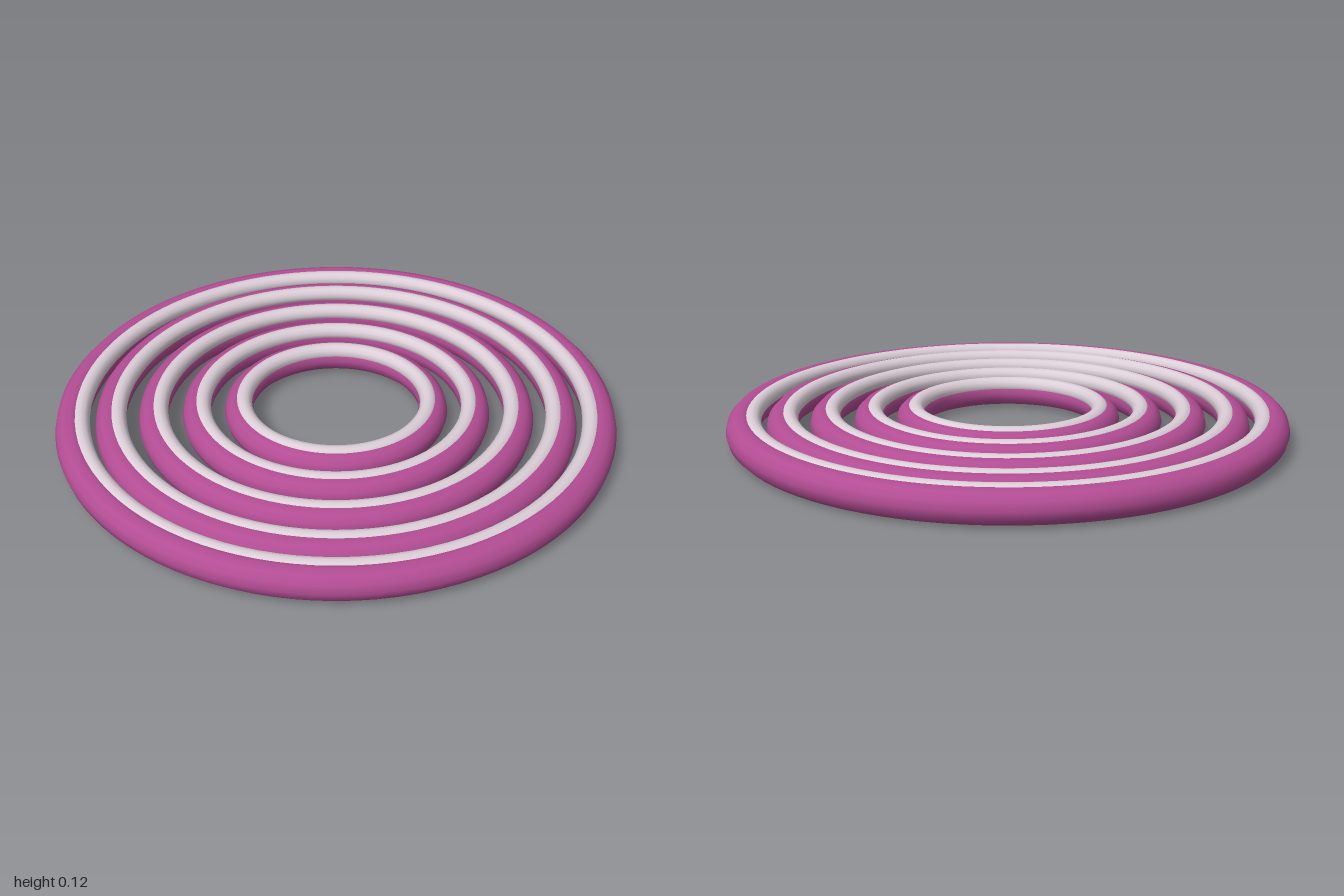
import * as THREE from 'three';

export function createModel() {
  const model = new THREE.Group();
  model.name = 'concentricRings';
  const magenta = new THREE.MeshStandardMaterial({ color: 0xb34d94 });
  magenta.name = 'magenta';
  const pale = new THREE.MeshStandardMaterial({ color: 0xdccfd8 });
  pale.name = 'palePink';

  // A horizontal ring with a round section
  function ring(name, radius, tube, y, material) {
    const geometry = new THREE.TorusGeometry(radius, tube, 12, 96);
    geometry.rotateX(-Math.PI / 2);
    const mesh = new THREE.Mesh(geometry, material);
    mesh.name = name;
    mesh.position.y = y;
    return mesh;
  }

  // Per ring: base radius, base thickness, trim radius
  const rings = [
    [0.943, 0.057, 0.908],
    [0.807, 0.054, 0.78],
    [0.655, 0.053, 0.632],
    [0.5, 0.052, 0.48],
    [0.35, 0.051, 0.333],
  ];
  rings.forEach(([radius, tube, trimRadius], i) => {
    const group = new THREE.Group();
    group.name = `ring${i + 1}`;
    // Thick lower ring, with a slim pale ring set into its upper inner side
    group.add(ring('baseRing', radius, tube, 0.057, magenta));
    group.add(ring('trimRing', trimRadius, 0.031, 0.087, pale));
    model.add(group);
  });
  return model;
}
